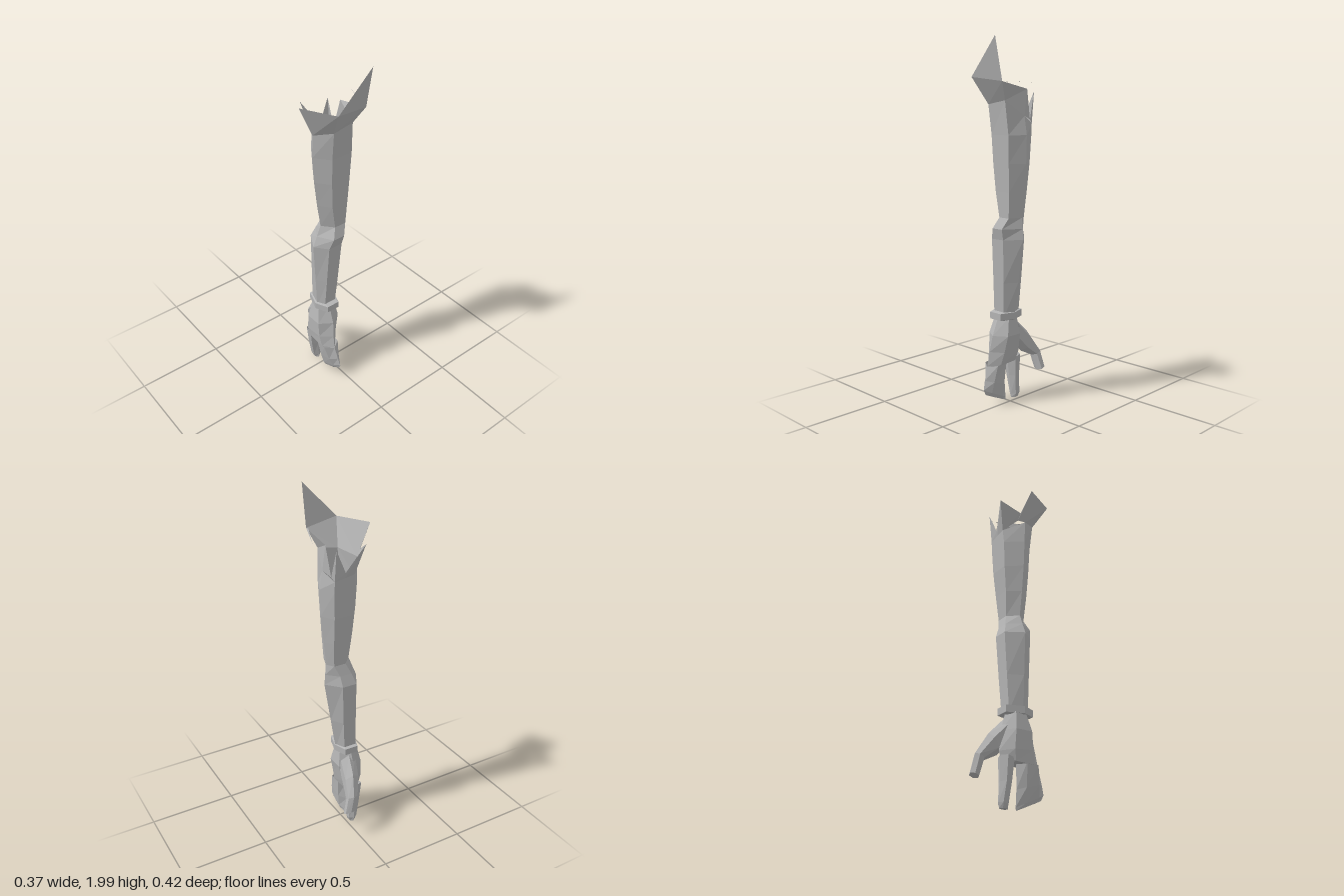
import * as THREE from 'three';

const grey = new THREE.MeshStandardMaterial({ color: 0xb4b4b4, flatShading: true, side: THREE.DoubleSide });
grey.name = 'plain grey';

// Flat-shaded mesh from a list of triangles, each three [x, y, z] corners
function meshFrom(name, triangles) {
  const geometry = new THREE.BufferGeometry();
  geometry.setAttribute('position', new THREE.Float32BufferAttribute(triangles.flat(2), 3));
  geometry.computeVertexNormals();
  const mesh = new THREE.Mesh(geometry, grey);
  mesh.name = name;
  return mesh;
}

// Closed tube through rings of points, listed from top to bottom
function loft(name, rings, capBottom = false) {
  const tris = [];
  for (let r = 0; r < rings.length - 1; r++) {
    const a = rings[r], b = rings[r + 1], n = a.length;
    for (let i = 0; i < n; i++) {
      const j = (i + 1) % n;
      tris.push([a[i], b[i], a[j]], [a[j], b[i], b[j]]);
    }
  }
  if (capBottom) {
    const p = rings[rings.length - 1];
    for (let i = 1; i < p.length - 1; i++) tris.push([p[0], p[i + 1], p[i]]);
  }
  return meshFrom(name, tris);
}

// Six-sided arm section: outer corner, two front, inner corner, two back
function armRing([y, xL, xFL, xFR, xR, zF, zB]) {
  return [[xL, y, 0.015], [xFL, y, zF], [xFR, y, zF], [xR, y, 0], [xFR, y, zB], [xFL, y, zB]];
}

// Six-sided hand section, sloped from the back edge to the front edge
function handRing([x0, x1, zB, zF, yB, yF]) {
  const at = (x, t) => [x, yB + (yF - yB) * t, zB + (zF - zB) * t];
  const xm = (x0 + x1) / 2;
  return [at(xm, 1), at(x1, 0.75), at(x1, 0.25), at(xm, 0), at(x0, 0.25), at(x0, 0.75)];
}

export function createModel() {
  const arm = new THREE.Group();
  arm.name = 'arm';

  // Torn shoulder rim: lower edge and upper edge, meeting at notches
  const lower = [
    [-0.11, 1.63, 0.02], [-0.05, 1.66, 0.113], [0.07, 1.68, 0.11], [0.105, 1.6, 0],
    [0.088, 1.58, -0.06], [0.08, 1.56, -0.083], [0.02, 1.57, -0.083], [-0.035, 1.58, -0.083],
    [-0.09, 1.64, -0.015],
  ];
  const upper = [
    [-0.185, 1.8, 0.015], [-0.09, 1.8, 0.195], [0.105, 1.775, 0.165], [0.1, 1.74, -0.025],
    [0.088, 1.58, -0.06], [0.08, 1.73, -0.1], [0.02, 1.6, -0.088], [-0.075, 1.745, -0.125],
    [-0.11, 1.68, -0.01],
  ];

  // Upper arm, elbow and forearm
  const sections = [
    [1.5, -0.11, -0.045, 0.08, 0.122, 0.095, -0.08],
    [1.35, -0.1, -0.04, 0.075, 0.118, 0.088, -0.072],
    [1.2, -0.082, -0.03, 0.07, 0.102, 0.08, -0.056],
    [1.06, -0.06, -0.008, 0.062, 0.088, 0.075, -0.042],
    [1.0, -0.085, -0.035, 0.035, 0.095, 0.1, -0.06],
    [0.94, -0.11, -0.055, 0.03, 0.1, 0.085, -0.08],
    [0.7, -0.097, -0.06, 0.018, 0.062, 0.07, -0.068],
    [0.5, -0.088, -0.065, 0.005, 0.03, 0.058, -0.058],
  ];
  const top = [0, 1, 2, 3, 5, 7].map((i) => lower[i]);
  arm.add(loft('armSleeve', [top, ...sections.map(armRing)]));
  arm.add(loft('tornRim', [upper, lower]));

  // Long splinters standing on the rim
  arm.add(meshFrom('rimSplinters', [
    [upper[1], upper[2], [0.1, 2.0, 0.21]],
    [[0.1, 1.775, 0.15], upper[2], [0.185, 1.77, -0.05]],
  ]));

  // Wrist band
  arm.add(loft('wristBand', [
    [0.535, -0.085, -0.06, 0.005, 0.025, 0.055, -0.055],
    [0.53, -0.1, -0.068, 0.012, 0.038, 0.088, -0.078],
    [0.492, -0.1, -0.068, 0.012, 0.038, 0.088, -0.078],
    [0.485, -0.085, -0.06, 0.005, 0.025, 0.055, -0.055],
  ].map(armRing)));

  // Palm
  arm.add(loft('palm', [
    [-0.088, 0.02, -0.06, 0.06, 0.5, 0.5],
    [-0.11, 0.035, -0.09, 0.1, 0.4, 0.4],
    [-0.108, 0.015, -0.105, 0.115, 0.29, 0.31],
    [-0.1, 0.0, -0.095, 0.13, 0.24, 0.23],
  ].map(handRing), true));

  // Joined fingers, separate finger and thumb
  arm.add(loft('joinedFingers', [
    [-0.1, 0.0, -0.005, 0.13, 0.25, 0.23],
    [-0.08, -0.008, 0.0, 0.155, 0.11, 0.155],
    [-0.06, -0.015, 0.0, 0.17, 0.025, 0.105],
    [-0.05, -0.022, 0.002, 0.155, 0.008, 0.075],
  ].map(handRing), true));
  arm.add(loft('singleFinger', [
    [-0.095, 0.0, -0.1, -0.025, 0.27, 0.25],
    [-0.08, -0.008, -0.095, -0.035, 0.14, 0.14],
    [-0.06, -0.01, -0.1, -0.042, 0.04, 0.03],
    [-0.05, -0.018, -0.095, -0.042, 0.012, 0.01],
  ].map(handRing), true));
  arm.add(loft('thumb', [
    [-0.07, 0.025, -0.06, -0.02, 0.47, 0.36],
    [-0.045, 0.04, -0.14, -0.09, 0.385, 0.28],
    [-0.005, 0.055, -0.2, -0.15, 0.28, 0.25],
    [0.02, 0.08, -0.21, -0.165, 0.185, 0.165],
  ].map(handRing), true));

  return arm;
}
